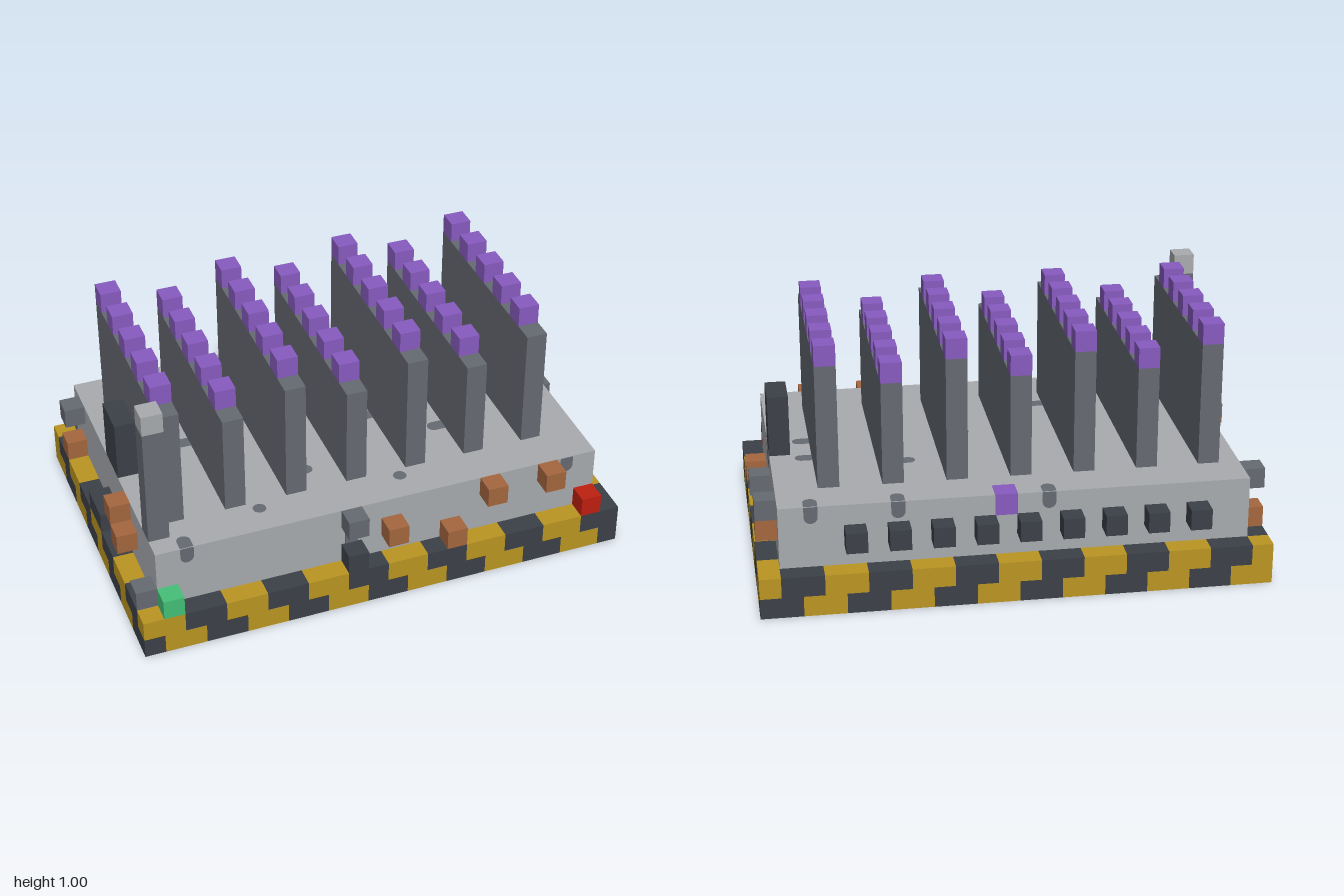
import * as THREE from 'three';
import { mergeGeometries } from 'three/addons/utils/BufferGeometryUtils.js';

const U = 1 / 12; // one block; the model is 24 x 12 x 16 blocks

const mat = (name, color, side = THREE.FrontSide) => {
  const m = new THREE.MeshStandardMaterial({ color, side });
  m.name = name;
  return m;
};

// Box from block cell (i, j, k), spanning (w, h, d) blocks
function cells(i, j, k, w = 1, h = 1, d = 1, grow = 0) {
  const g = new THREE.BoxGeometry(w * U + grow, h * U + grow, d * U + grow);
  return g.translate((i + w / 2 - 12) * U, (j + h / 2) * U, (k + d / 2 - 8) * U);
}

// Flat stain with a round end; the straight end meets the neighbouring block at +x
function stain(joined) {
  const r = 0.027;
  if (!joined) return new THREE.CircleGeometry(r, 12);
  const s = new THREE.Shape();
  s.moveTo(U / 2, -r);
  s.lineTo(U / 2, r);
  s.lineTo(0, r);
  s.absarc(0, 0, r, Math.PI / 2, Math.PI * 1.5, false);
  return new THREE.ShapeGeometry(s, 8);
}

export function createModel() {
  const root = new THREE.Group();
  root.name = 'machine';
  const light = mat('lightGrey', 0xa9acb0);
  const grey = mat('midGrey', 0x666a72);
  const dark = mat('darkGrey', 0x3c4148);
  const yellow = mat('hazardYellow', 0xbb9622);
  const purple = mat('purple', 0x885bc0);
  const copper = mat('copper', 0xa5673f);
  const red = mat('red', 0xbf2010);
  const green = mat('green', 0x45c078);

  const add = (name, geometry, material) => {
    const m = new THREE.Mesh(geometry, material);
    m.name = name;
    root.add(m);
    return m;
  };

  // Hazard-striped base: diagonal bands, two blocks wide; upper layer is only a rim
  const isYellow = (i, j, k) => (i + j + k) % 4 < 2;
  const bands = { true: [], false: [] };
  for (let j = 0; j < 2; j++) for (let k = 0; k < 16; k++) {
    for (let i = 0; i < 24;) {
      const inner = (n) => j === 1 && k > 0 && k < 15 && n > 0 && n < 23;
      if (inner(i)) { i++; continue; }
      let w = 1;
      while (i + w < 24 && !inner(i + w) && isYellow(i + w, j, k) === isYellow(i, j, k)) w++;
      bands[isYellow(i, j, k)].push(cells(i, j, k, w));
      i += w;
    }
  }
  add('yellowStripes', mergeGeometries(bands.true), yellow);
  add('darkStripes', mergeGeometries(bands.false), dark);

  // Main housing
  add('housing', cells(1, 2, 1, 22, 3, 14), light);

  // Seven fins of alternating height, each with five purple caps
  for (let n = 0; n < 7; n++) {
    const i = 2 + n * 3, h = n % 2 ? 5 : 6;
    add('fin', cells(i, 5, 3, 1, h, 10), grey);
    const caps = [];
    for (let k = 3; k <= 11; k += 2) caps.push(cells(i, 5 + h, k));
    add('finCaps', mergeGeometries(caps), purple);
  }

  // Corner mast
  add('mast', cells(1, 5, 13, 1, 6, 1), grey);
  add('mastTip', cells(1, 11, 13), light);

  // Side blocks
  add('leftBlock', cells(22, 5, 7, 1, 3, 2), dark);
  add('rightBlock', cells(1, 5, 7, 1, 3, 2), dark);
  add('rightStep', cells(0, 2, 7, 1, 1, 2), dark);

  // Row of vents on the back
  for (let i = 3; i <= 19; i += 2) add('vent', cells(i, 3, 0), dark);

  // Small fittings on the walls
  const fittings = [
    ['copperFitting', copper, [[12, 3, 15], [15, 2, 15], [17, 4, 15], [20, 4, 15], [23, 2, 11],
      [23, 3, 2], [0, 2, 2], [0, 4, 10], [0, 3, 11]]],
    ['greyFitting', grey, [[10, 4, 15], [23, 4, 2], [23, 3, 7], [0, 4, 2], [0, 2, 14]]],
    ['darkFitting', dark, [[10, 2, 15]]],
    ['redLamp', red, [[22, 2, 15]]],
    ['greenLamp', green, [[1, 2, 15]]],
  ];
  for (const [name, material, list] of fittings) {
    for (const c of list) add(name, cells(...c), material);
  }

  // Purple inlay at the back edge of the housing
  add('backInlay', cells(12, 4, 1, 1, 1, 1, 0.004), purple);

  // Stains on the top: column, row, turn towards the neighbouring block (null = free)
  const top = 5 * U + 0.002, Q = Math.PI / 2;
  const stains = [
    [10, 1, Q], [17, 1, Q], [21, 1, Q], [2, 14, -Q], [16, 5, 0], [21, 6, Math.PI], [4, 7, 0],
    [13, 8, 0], [21, 8, Math.PI], [16, 10, 0], [9, 11, Math.PI], [6, 13, null], [13, 13, null],
  ];
  for (const [i, k, turn] of stains) {
    const g = stain(turn !== null).rotateZ(turn ?? 0).rotateX(-Q);
    add('topStain', g.translate((i - 11.5) * U, top, (k - 7.5) * U), grey);
  }

  // Stains running down from the housing edge on front and back
  for (const i of [2, 21]) {
    add('frontStain', stain(true).rotateZ(Q).translate((i - 11.5) * U, 4.5 * U, 7 * U + 0.002), grey);
  }
  add('frontStain', cells(10, 3, 14, 0.6, 1, 1, 0.004).translate(0.2 * U, 0, 0), grey);
  for (const i of [10, 17, 21]) {
    add('backStain', stain(true).rotateZ(Q).rotateY(Math.PI)
      .translate((i - 11.5) * U, 4.5 * U, -7 * U - 0.002), grey);
  }

  // Wide stain under the left block
  const drip = new THREE.Shape([[-0.07, 0.417], [-0.07, 0.39], [-0.05, 0.355], [0, 0.345],
    [0.05, 0.345], [0.07, 0.39], [0.07, 0.417]].map(([x, y]) => new THREE.Vector2(x, y)));
  add('sideStain', new THREE.ShapeGeometry(drip).rotateY(Q).translate(11 * U + 0.002, 0, 0), grey);

  return root;
}
